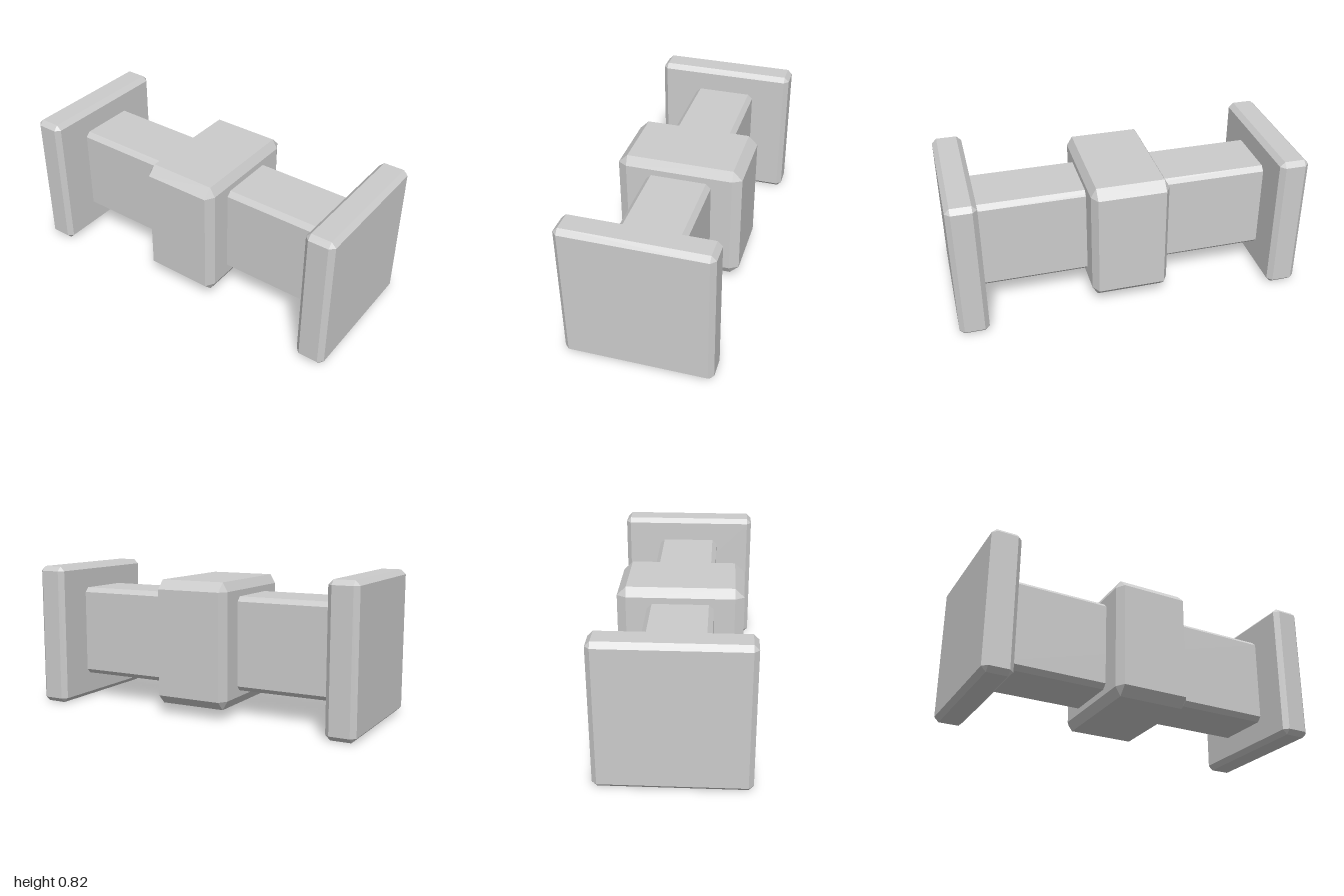
import * as THREE from 'three';
import { ConvexGeometry } from 'three/addons/geometries/ConvexGeometry.js';

const material = new THREE.MeshStandardMaterial({ color: 0xcccccc, flatShading: true });

// Box with bevelled edges: half sizes h and bevel depth b, each per axis
function bevelledBox(name, h, b, x, y) {
  const points = [];
  for (const sx of [-1, 1]) for (const sy of [-1, 1]) for (const sz of [-1, 1]) {
    const s = [sx, sy, sz];
    // each corner becomes three points, one on each adjoining face
    for (let face = 0; face < 3; face++) {
      points.push(new THREE.Vector3(...s.map((v, i) => v * (i === face ? h[i] : h[i] - b[i]))));
    }
  }
  const mesh = new THREE.Mesh(new ConvexGeometry(points), material);
  mesh.name = name;
  mesh.position.set(x, y, 0);
  return mesh;
}

export function createModel() {
  const group = new THREE.Group();
  group.name = 'connector';
  const y = 0.412;
  const bevel = [0.027, 0.027, 0.027];

  // Square end plates
  for (const side of [-1, 1]) {
    const name = side > 0 ? 'leftEndPlate' : 'rightEndPlate';
    group.add(bevelledBox(name, [0.084, y, 0.412], bevel, side * 0.916, y));
  }

  // Bar joining the plates
  group.add(bevelledBox('bar', [0.86, 0.268, 0.186], bevel, 0, y + 0.003));

  // Collar block around the middle of the bar
  group.add(bevelledBox('centreBlock', [0.222, 0.356, 0.356], [0.03, 0.052, 0.052], 0, y + 0.003));

  return group;
}
